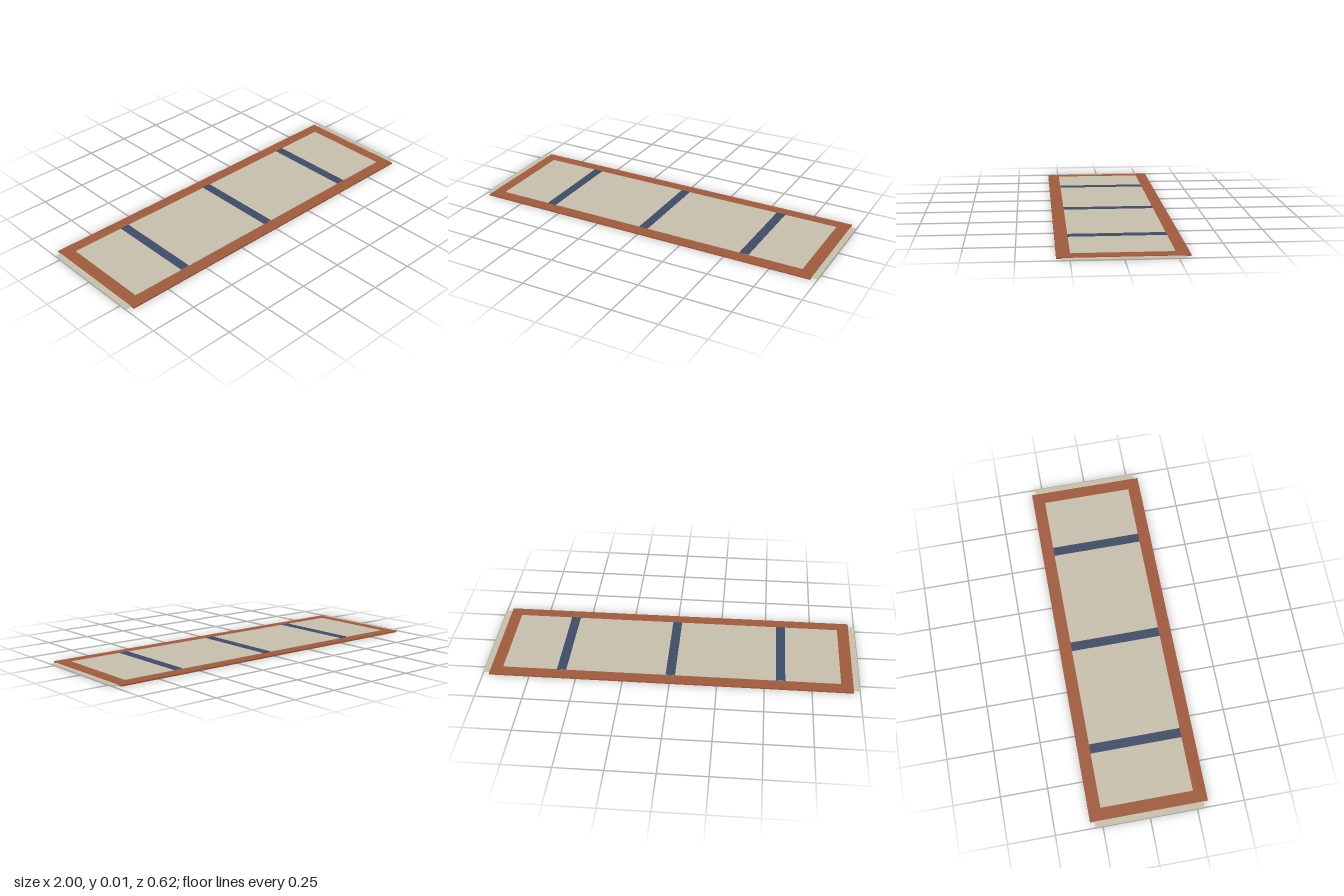
import * as THREE from 'three';

const rust = new THREE.MeshStandardMaterial({ color: 0xa05a3c });
const cream = new THREE.MeshStandardMaterial({ color: 0xc8bfad });
const navy = new THREE.MeshStandardMaterial({ color: 0x3f4b66 });

// Flat slab spanning y0 to y1, centred on z = 0
function slab(name, material, width, depth, y0, y1, x = 0) {
  const mesh = new THREE.Mesh(new THREE.BoxGeometry(width, y1 - y0, depth), material);
  mesh.name = name;
  mesh.position.set(x, (y0 + y1) / 2, 0);
  return mesh;
}

export function createModel() {
  const rug = new THREE.Group();
  rug.name = 'rug';

  // Border slab, with the woven field laid on top
  rug.add(slab('border', rust, 1.934, 0.625, 0, 0.0075));
  rug.add(slab('field', cream, 1.806, 0.492, 0.004, 0.0095));

  // Thin backing whose ends show as fringes
  rug.add(slab('fringe', cream, 2, 0.575, 0.0003, 0.004));

  // Three cross stripes
  for (const x of [-0.585, 0, 0.585]) {
    rug.add(slab('stripe', navy, 0.05, 0.492, 0.007, 0.0115, x));
  }
  return rug;
}
